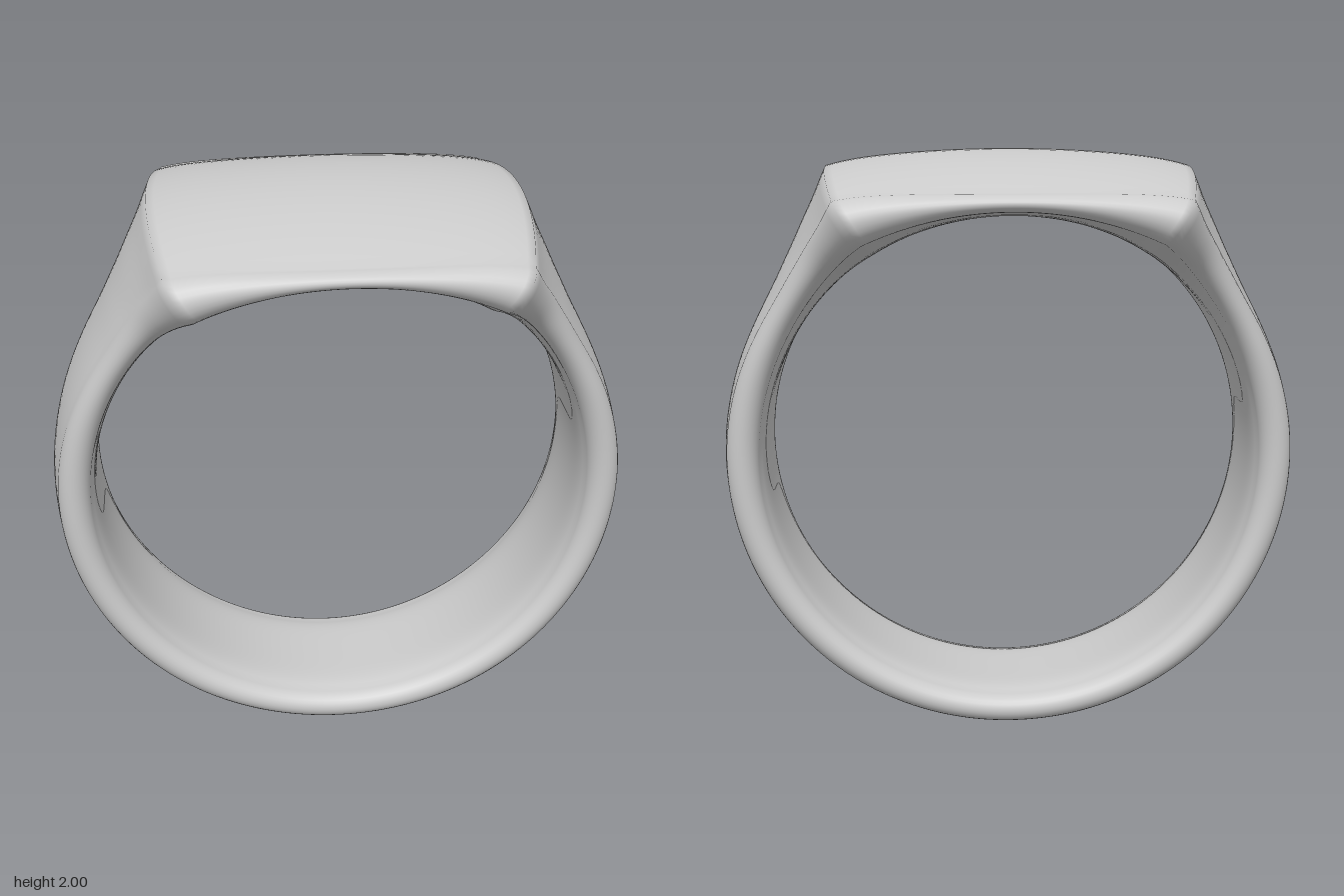
import * as THREE from 'three';

const CENTRE_Y = 0.97, INNER = 0.833, RIDGE = 32.5;

// Shank stations: degrees from the top, crown radius, half width,
// drop of the crown towards the rim, flare of the bore, depth of the rounded rim
const SHANK = [
  [32.5, 1.155, 0.622, 0.09, 0.06, 0.09], [37, 1.1, 0.537, 0.075, 0.052, 0.085],
  [42, 1.056, 0.46, 0.06, 0.042, 0.08], [47, 1.022, 0.414, 0.048, 0.034, 0.075],
  [54, 0.992, 0.374, 0.036, 0.026, 0.07], [62, 0.98, 0.345, 0.028, 0.02, 0.065],
  [75, 0.98, 0.32, 0.024, 0.016, 0.06], [90, 0.982, 0.308, 0.023, 0.015, 0.06],
  [135, 0.976, 0.296, 0.022, 0.015, 0.06], [180, 0.97, 0.288, 0.022, 0.015, 0.06],
];

// Smooth interpolation through the stations
function shankAt(deg) {
  const n = SHANK.length;
  let i = 0;
  while (i < n - 2 && deg > SHANK[i + 1][0]) i++;
  const a = SHANK[i], b = SHANK[i + 1], h = b[0] - a[0], u = (deg - a[0]) / h;
  const slope = (k, c) => {
    const p = SHANK[Math.max(k - 1, 0)], q = SHANK[Math.min(k + 1, n - 1)];
    return k === n - 1 ? 0 : (q[c] - p[c]) / (q[0] - p[0]);
  };
  return [1, 2, 3, 4, 5].map((c) => {
    const u2 = u * u, u3 = u2 * u;
    return (2 * u3 - 3 * u2 + 1) * a[c] + (3 * u2 - 2 * u3) * b[c]
      + h * ((u3 - 2 * u2 + u) * slope(i, c) + (u3 - u2) * slope(i + 1, c));
  });
}

// Flat, slightly crowned signet face between the two ridges
function faceAt(deg) {
  const t = THREE.MathUtils.degToRad(deg), u = deg / RIDGE, u2 = u * u;
  return [
    (1.03 - 0.04 * u2) / Math.cos(t) - 0.019 * u ** 8,
    0.614 + 0.008 * u ** 6,
    0.11 - 0.02 * u2,
    0.028 + 0.032 * u2,
    0.055 + 0.035 * u2,
  ];
}

// Cross-section as [radius, z] pairs: domed crown, rounded rims, bore flaring at its ends
function section([crown, width, drop, flare, bulge]) {
  const pts = [], flat = width - bulge, N = 24, M = 14;
  const rim = crown - drop, lip = INNER + flare, mid = (rim + lip) / 2, half = (rim - lip) / 2;
  const round = (s, a) => pts.push([mid + half * Math.cos(a), s * (flat + bulge * Math.sin(a))]);
  for (let i = 0; i <= N; i++) {
    const v = 1 - (2 * i) / N;
    pts.push([crown - drop * v * v, v * flat]);
  }
  for (let i = 1; i < M; i++) round(-1, (Math.PI * i) / M);
  for (let i = 0; i <= N; i++) {
    const v = (2 * i) / N - 1;
    pts.push([INNER + flare * v ** 6, v * flat]);
  }
  for (let i = M - 1; i > 0; i--) round(1, (Math.PI * i) / M);
  return pts;
}

export function createModel() {
  // Angles around the ring, mirrored left and right, with stations on the ridges
  const half = [];
  for (let i = 0; i < 24; i++) half.push((RIDGE * i) / 24);
  for (let i = 0; i <= 84; i++) half.push(RIDGE + ((180 - RIDGE) * i) / 84);
  const angles = [...half.slice(1, -1).reverse().map((d) => -d), ...half];

  const pos = [], index = [];
  let count = 0;
  for (const d of angles) {
    const t = THREE.MathUtils.degToRad(d), abs = Math.abs(d);
    const pts = section(abs <= RIDGE ? faceAt(abs) : shankAt(abs));
    count = pts.length;
    for (const [r, z] of pts) pos.push(r * Math.sin(t), CENTRE_Y + r * Math.cos(t), z);
  }
  // Closed loop of quads
  const rings = angles.length;
  for (let i = 0; i < rings; i++) {
    for (let j = 0; j < count; j++) {
      const i2 = (i + 1) % rings, j2 = (j + 1) % count;
      const a = i * count + j, b = i2 * count + j, c = i2 * count + j2, e = i * count + j2;
      index.push(a, b, e, b, c, e);
    }
  }
  const geometry = new THREE.BufferGeometry();
  geometry.setAttribute('position', new THREE.Float32BufferAttribute(pos, 3));
  geometry.setIndex(index);
  geometry.computeVertexNormals();

  const ring = new THREE.Mesh(geometry, new THREE.MeshStandardMaterial({ color: 0xcccccc }));
  ring.name = 'signetRing';
  const group = new THREE.Group();
  group.name = 'ring';
  group.add(ring);
  return group;
}
